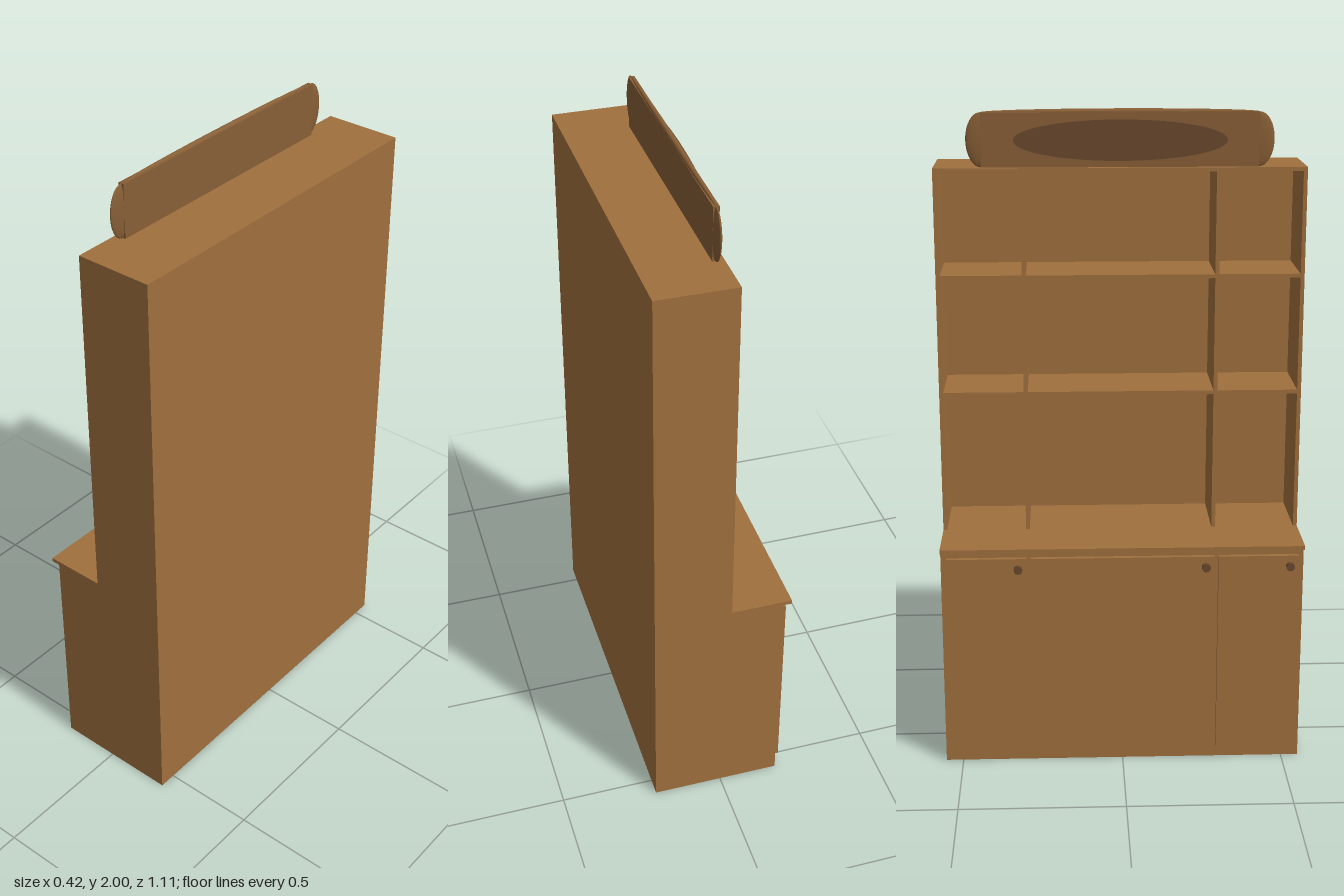
import * as THREE from 'three';

export function createModel() {
  const model = new THREE.Group();
  const wood = new THREE.MeshStandardMaterial({ color: 0xa0703e });
  const crestWood = new THREE.MeshStandardMaterial({ color: 0x885f36 });
  const darkWood = new THREE.MeshStandardMaterial({ color: 0x6b4a2d });

  const add = (name, geometry, material = wood, parent = model) => {
    const mesh = new THREE.Mesh(geometry, material);
    mesh.name = name;
    parent.add(mesh);
    return mesh;
  };
  // Box given by its limits on each axis
  const box = (name, [x0, x1], [y0, y1], [z0, z1], material = wood, parent = model) => {
    const mesh = add(name, new THREE.BoxGeometry(x1 - x0, y1 - y0, z1 - z0), material, parent);
    mesh.position.set((x0 + x1) / 2, (y0 + y1) / 2, (z0 + z1) / 2);
    return mesh;
  };

  const W = 0.553, BACK = 0.212, T = 0.012;
  const HUTCH = -0.025, BASE = -0.185, DOOR = -0.2;
  const COUNTER = 0.71, TOP = 1.83;

  // Base cupboard and worktop; the doors face -x
  box('baseCabinet', [BASE, BACK], [0, COUNTER - T], [-W, W]);
  box('worktop', [-0.212, BACK], [COUNTER - T, COUNTER], [-W, W]);

  // Doors, each with a round knob near its +z edge
  for (const [z0, z1] of [[-0.537, -0.292], [-0.28, 0.28], [0.292, 0.537]]) {
    const door = new THREE.Group();
    door.name = 'door';
    model.add(door);
    box('doorPanel', [DOOR, BASE], [0.04, 0.675], [z0, z1], wood, door);
    const knob = add('knob', new THREE.CylinderGeometry(0.013, 0.013, 0.013, 24), darkWood, door);
    knob.rotation.z = Math.PI / 2;
    knob.position.set(DOOR - 0.0055, 0.642, z1 - 0.026);
  }

  // Open shelving above the worktop
  box('backPanel', [BACK - T, BACK], [COUNTER, TOP], [-W, W]);
  box('topPanel', [HUTCH, BACK - T], [TOP - T, TOP], [-W, W]);
  for (const s of [-1, 1]) {
    const outer = s * (W - T / 2), inner = s * 0.29;
    box('sidePanel', [HUTCH, BACK - T], [COUNTER, TOP - T], [outer - T / 2, outer + T / 2]);
    box('divider', [HUTCH, BACK - T], [COUNTER, TOP - T], [inner - T / 2, inner + T / 2]);
  }
  for (const y of [1.145, 1.505]) {
    box('shelf', [HUTCH + 0.001, BACK - T], [y - T / 2, y + T / 2], [T - W, W - T]);
  }

  // Crest: thin board with rounded ends and a slightly arched top
  const crest = new THREE.Group();
  crest.name = 'crest';
  model.add(crest);
  const half = 0.009, crestY = 1.91;
  box('crestBoard', [-half, half], [TOP, 1.99], [-0.41, 0.41], crestWood, crest);
  for (const s of [-1, 1]) {
    const end = add('crestEnd', new THREE.SphereGeometry(1, 32, 24), crestWood, crest);
    end.scale.set(half, 0.08, 0.045);
    end.position.set(0, crestY, s * 0.41);
  }
  const arch = add('crestArch', new THREE.SphereGeometry(1, 32, 16), crestWood, crest);
  arch.scale.set(half, 0.01, 0.41);
  arch.position.y = 1.99;

  // Oval plaque on the front of the crest
  const plaque = add('plaque', new THREE.CylinderGeometry(1, 1, 1, 48), darkWood, crest);
  plaque.geometry.rotateZ(Math.PI / 2);
  plaque.scale.set(0.016, 0.06, 0.315);
  plaque.position.set(-0.017, crestY, 0);

  return model;
}
